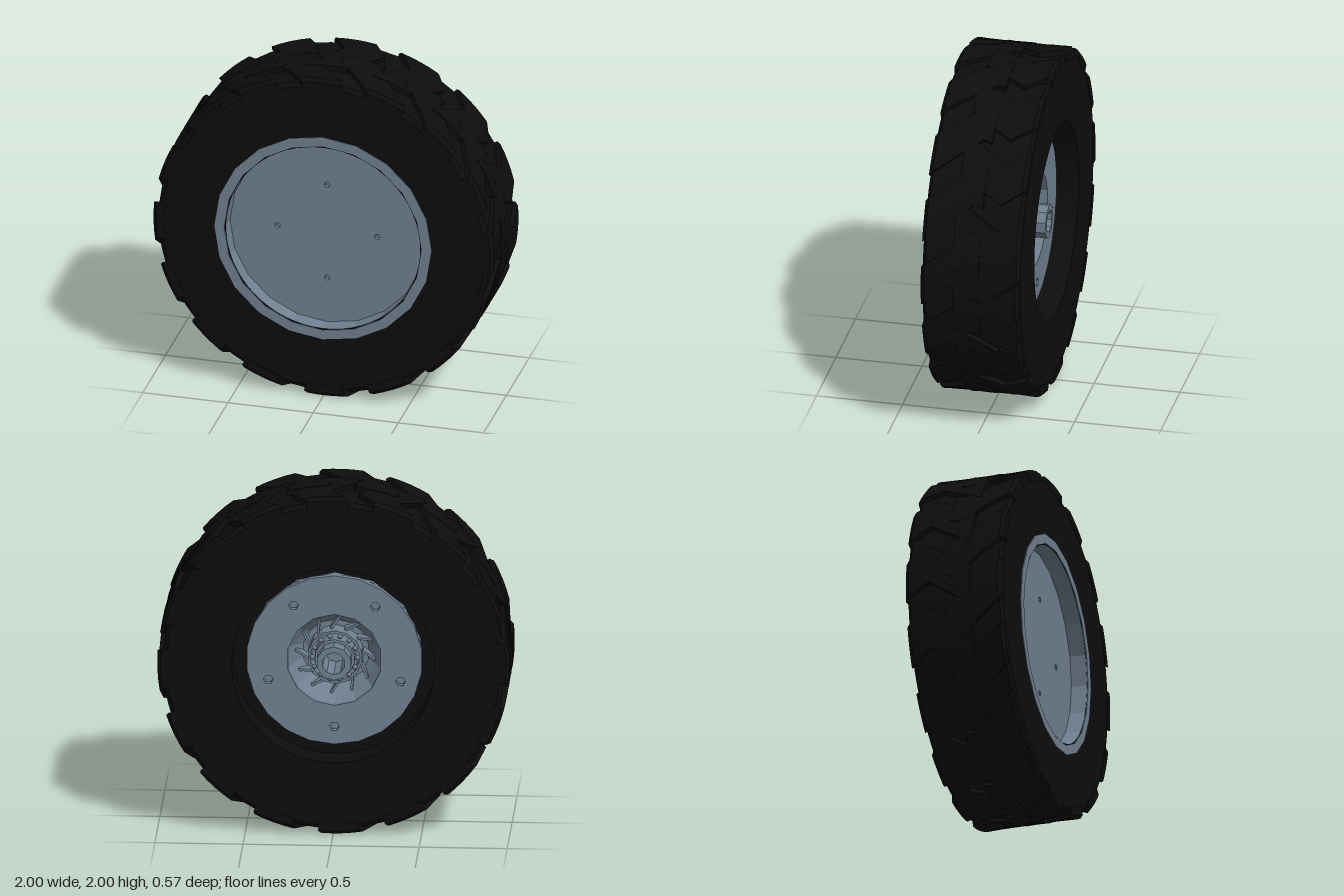
import * as THREE from 'three';

const rubber = new THREE.MeshStandardMaterial({ color: 0x0d0d0d });
rubber.name = 'black rubber';
const steel = new THREE.MeshStandardMaterial({ color: 0x708090 });
steel.name = 'slate grey metal';

export function createModel() {
  const model = new THREE.Group();
  model.name = 'wheel';
  const wheel = new THREE.Group();
  wheel.name = 'wheelAssembly';
  wheel.position.y = 1;
  model.add(wheel);

  function add(name, geometry, material, smooth = false) {
    let g = geometry;
    if (!smooth) {
      g = g.index ? g.toNonIndexed() : g;
      g.computeVertexNormals();
    }
    const mesh = new THREE.Mesh(g, material);
    mesh.name = name;
    wheel.add(mesh);
    return mesh;
  }

  // Solid of revolution about z, from [radius, z] pairs
  function turned(profile, sides) {
    const points = profile.map(([r, z]) => new THREE.Vector2(r, z));
    return new THREE.LatheGeometry(points, sides).rotateX(Math.PI / 2);
  }

  function polygon(PathType, x, y, radius, sides, start = 0) {
    const path = new PathType();
    for (let i = 0; i < sides; i++) {
      const a = start + (i / sides) * Math.PI * 2;
      const px = x + radius * Math.cos(a), py = y + radius * Math.sin(a);
      if (i === 0) path.moveTo(px, py);
      else path.lineTo(px, py);
    }
    path.closePath();
    return path;
  }

  // Plate with a ring of small bolt holes and an optional centre hole
  function plate(radius, sides, z, depth, bolts, centreHole) {
    const shape = polygon(THREE.Shape, 0, 0, radius, sides, Math.PI / 2);
    for (let i = 0; i < bolts.count; i++) {
      const a = -Math.PI / 2 + (i / bolts.count) * Math.PI * 2;
      shape.holes.push(polygon(THREE.Path, bolts.at * Math.cos(a), bolts.at * Math.sin(a), bolts.radius, bolts.sides));
    }
    if (centreHole) shape.holes.push(polygon(THREE.Path, 0, 0, centreHole, 14, Math.PI / 2));
    return new THREE.ExtrudeGeometry(shape, { depth, bevelEnabled: false }).translate(0, 0, z);
  }

  // Tyre carcass
  add('tyre', turned([
    [0.45, -0.1], [0.575, -0.1], [0.575, -0.283], [0.945, -0.283],
    [0.97, -0.265], [0.97, 0.265], [0.945, 0.283], [0.57, 0.283],
  ], 64), rubber);

  // Tread lugs: a bent block following rows of [z, angle, radius]
  const lugWidth = 0.24;
  function lug(rows, turn) {
    const n = rows.length - 1;
    const g = new THREE.BoxGeometry(1, 1, 1, 4, 1, n);
    const p = g.attributes.position;
    for (let i = 0; i < p.count; i++) {
      const [z, angle, outer] = rows[Math.round((p.getZ(i) + 0.5) * n)];
      const a = turn + angle + (0.5 - p.getX(i)) * lugWidth;
      const r = p.getY(i) > 0 ? outer : 0.93;
      p.setXYZ(i, r * Math.cos(a), r * Math.sin(a), z);
    }
    return g;
  }
  const frontRows = [[-0.05, 0.5, 1], [0, 0.52, 1], [0.265, 0.297, 1], [0.286, 0.28, 0.98]];
  const backRows = [[-0.286, 0.24, 0.98], [-0.265, 0.225, 1], [-0.15, 0.14, 1], [0.1, 0.3, 1]];
  for (let i = 0; i < 16; i++) {
    const turn = (i / 16) * Math.PI * 2;
    add('frontTreadLug', lug(frontRows, turn), rubber);
    add('backTreadLug', lug(backRows, turn), rubber);
  }

  // Front rim lip and recessed cover
  add('rimLip', turned([[0.637, 0.26], [0.637, 0.287], [0.58, 0.287], [0.57, 0.18]], 20), steel);
  add('frontCover', plate(0.575, 20, 0.16, 0.03, { count: 4, at: 0.293, radius: 0.018, sides: 5 }), steel);
  add('coverBacking', new THREE.CylinderGeometry(0.5, 0.5, 0.065, 20).rotateX(Math.PI / 2).translate(0, 0, 0.1325), steel);

  // Back mounting plate, rim body and its conical well
  add('mountingPlate', plate(0.5, 22, -0.17, 0.04, { count: 5, at: 0.395, radius: 0.028, sides: 6 }, 0.27), steel);
  add('rimBody', turned([
    [0, 0], [0.19, 0], [0.23, -0.05], [0.27, -0.13], [0.5, -0.13], [0.5, 0.12],
  ], 14), steel);

  // Hollow axle sleeve and bearing rings
  add('axleSleeve', turned([[0.065, 0], [0.065, -0.24], [0.1, -0.24], [0.1, 0]], 10), steel);
  add('innerBearingRing', turned([[0.09, -0.15], [0.115, -0.15], [0.115, 0]], 14), steel);
  add('outerBearingRing', turned([[0.14, 0], [0.14, -0.12], [0.157, -0.12], [0.157, 0]], 14), steel);
  for (let i = 0; i < 14; i++) {
    const a = (i / 14) * Math.PI * 2;
    const ball = add('bearingBall', new THREE.SphereGeometry(0.015, 8, 6), steel, true);
    ball.position.set(0.128 * Math.cos(a), 0.128 * Math.sin(a), -0.12);
  }

  // Swirled fins inside the well
  for (let i = 0; i < 12; i++) {
    const a = (i / 12) * Math.PI * 2;
    const fin = add('hubFin', new THREE.BoxGeometry(0.09, 0.014, 0.07), steel);
    fin.position.set(0.19 * Math.cos(a), 0.19 * Math.sin(a), -0.035);
    fin.rotation.z = a + 0.6;
  }

  return model;
}
